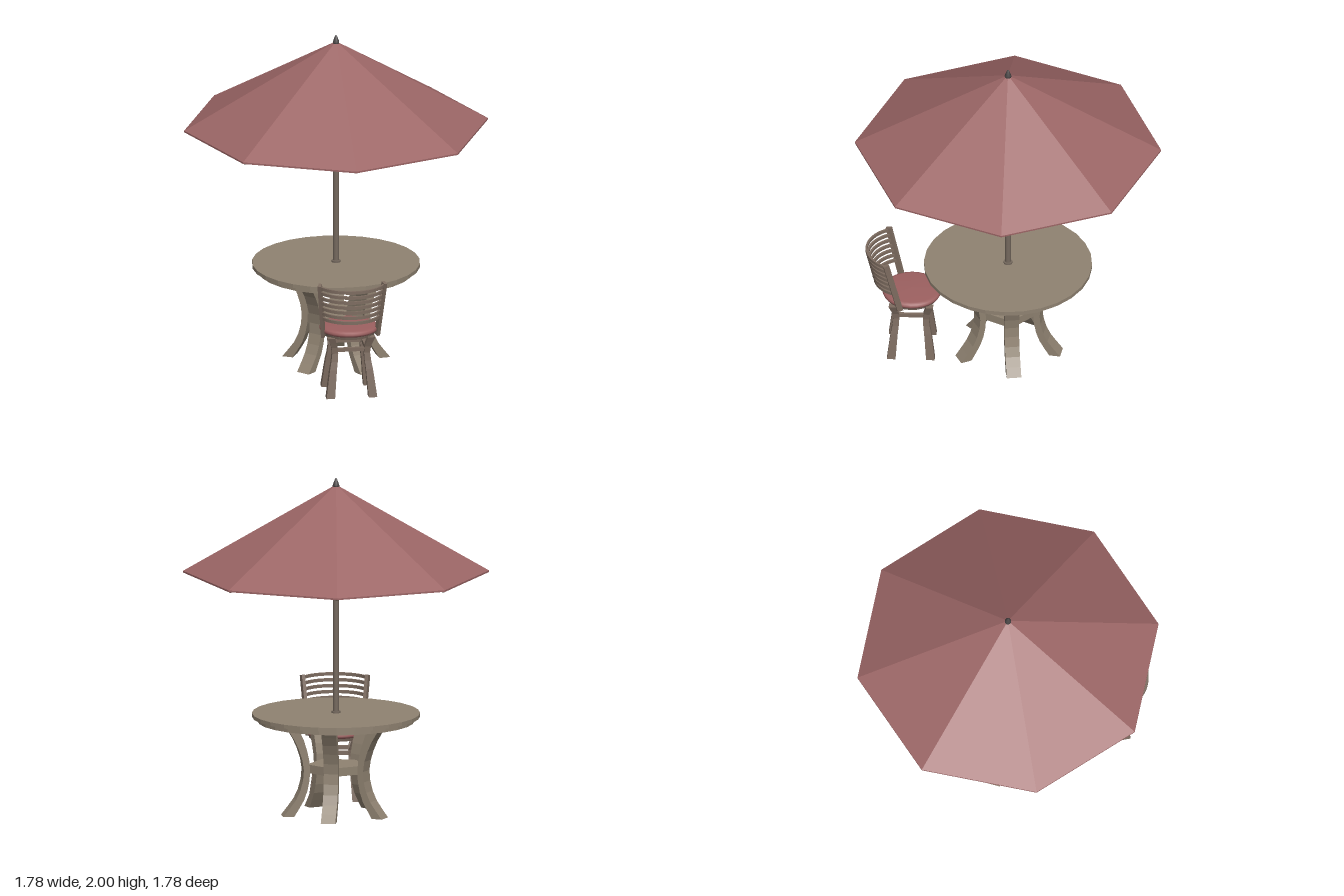
import * as THREE from 'three';

const wood = new THREE.MeshStandardMaterial({ color: 0x8f8271, flatShading: true });
const chairWood = new THREE.MeshStandardMaterial({ color: 0x7d6c60, flatShading: true });
const fabric = new THREE.MeshStandardMaterial({ color: 0x9c6666, flatShading: true, side: THREE.DoubleSide });
const cushionFabric = new THREE.MeshStandardMaterial({ color: 0x9c6060 });
const darkMetal = new THREE.MeshStandardMaterial({ color: 0x4a4646 });
const smoothWood = new THREE.MeshStandardMaterial({ color: 0x75695e });

const V = (x, y, z) => new THREE.Vector3(x, y, z);

function add(parent, name, geometry, material, x = 0, y = 0, z = 0) {
  const mesh = new THREE.Mesh(geometry, material);
  mesh.name = name;
  mesh.position.set(x, y, z);
  parent.add(mesh);
  return mesh;
}

// Straight bar of rectangular section between two points
function bar(parent, name, a, b, width, height, material) {
  const mesh = new THREE.Mesh(new THREE.BoxGeometry(width, height, a.distanceTo(b)), material);
  mesh.name = name;
  mesh.position.copy(a).lerp(b, 0.5);
  mesh.lookAt(b);
  parent.add(mesh);
}

// Curved leg: each point is (offset along direction, height, thickness)
function legGeometry(points, dirX, dirZ, width, segments = 10) {
  const curve = new THREE.CatmullRomCurve3(points);
  const geometry = new THREE.BoxGeometry(1, 1, 1, 1, segments, 1);
  const pos = geometry.attributes.position;
  for (let i = 0; i < pos.count; i++) {
    const c = curve.getPoint(pos.getY(i) + 0.5);
    pos.setXYZ(i, dirX * c.x + pos.getX(i) * (width || c.z), c.y, dirZ * c.x + pos.getZ(i) * c.z);
  }
  geometry.computeVertexNormals();
  return geometry;
}

function createTable() {
  const table = new THREE.Group();
  table.name = 'table';
  add(table, 'tableTop', new THREE.CylinderGeometry(0.49, 0.49, 0.022, 28), wood, 0, 0.598);
  add(table, 'tableApron', new THREE.CylinderGeometry(0.457, 0.457, 0.028, 28), wood, 0, 0.573);
  // Five curved legs joined by a pentagonal brace
  const turn = THREE.MathUtils.degToRad(27);
  const profile = [V(0.285, 0.008, 0.065), V(0.207, 0.13, 0.045), V(0.178, 0.28, 0.037),
    V(0.212, 0.43, 0.05), V(0.28, 0.562, 0.072)];
  for (let i = 0; i < 5; i++) {
    const leg = add(table, 'tableLeg', legGeometry(profile, 0, 1, 0.085), wood);
    leg.rotation.y = turn + i * Math.PI * 2 / 5;
  }
  add(table, 'legBrace', new THREE.CylinderGeometry(0.17, 0.17, 0.05, 5), wood, 0, 0.283).rotation.y = turn;
  return table;
}

function createUmbrella() {
  const umbrella = new THREE.Group();
  umbrella.name = 'umbrella';
  const apex = 1.96, rim = 1.45, radius = 0.892;
  add(umbrella, 'pole', new THREE.CylinderGeometry(0.017, 0.017, 1.37, 12), smoothWood, 0, 1.265);
  add(umbrella, 'poleCollar', new THREE.CylinderGeometry(0.026, 0.026, 0.012, 14), smoothWood, 0, 0.614);
  add(umbrella, 'canopy', new THREE.ConeGeometry(radius, apex - rim, 8, 1, true), fabric, 0, (apex + rim) / 2);
  add(umbrella, 'canopyHem', new THREE.CylinderGeometry(radius, radius, 0.01, 8, 1, true), fabric, 0, rim - 0.004);
  const finial = [[0, 1.94], [0.019, 1.945], [0.019, 1.958], [0.012, 1.978], [0.005, 1.995], [0, 2]];
  add(umbrella, 'finial', new THREE.LatheGeometry(finial.map(p => new THREE.Vector2(...p)), 12), darkMetal);
  add(umbrella, 'upperHub', new THREE.CylinderGeometry(0.03, 0.03, 0.06, 12), smoothWood, 0, 1.88);
  add(umbrella, 'lowerHub', new THREE.CylinderGeometry(0.026, 0.026, 0.05, 12), smoothWood, 0, 1.53);
  // A rib under every ridge, with a strut up from the lower hub
  for (let i = 0; i < 8; i++) {
    const a = i * Math.PI / 4;
    const at = (r, y) => V(Math.sin(a) * r, y, Math.cos(a) * r);
    bar(umbrella, 'rib', at(0.02, 1.935), at(0.882, 1.442), 0.018, 0.016, chairWood);
    bar(umbrella, 'strut', at(0.018, 1.53), at(0.31, 1.77), 0.014, 0.014, chairWood);
  }
  return umbrella;
}

function createChair() {
  const chair = new THREE.Group();
  chair.name = 'chair';
  // Round seat: wooden frame and padded cushion
  add(chair, 'seatFrame', new THREE.CylinderGeometry(0.158, 0.152, 0.02, 24), chairWood, 0, 0.37);
  const pad = [[0, 0.376], [0.155, 0.376], [0.168, 0.383], [0.172, 0.394], [0.166, 0.405], [0.148, 0.412], [0, 0.415]];
  add(chair, 'seatCushion', new THREE.LatheGeometry(pad.map(p => new THREE.Vector2(...p)), 28), cushionFabric);

  // Legs pinched at the stretchers, and back posts
  const profile = [V(0.124, 0, 0.05), V(0.108, 0.15, 0.042), V(0.094, 0.28, 0.035), V(0.118, 0.365, 0.042)];
  for (const sx of [-1, 1]) {
    for (const sz of [-1, 1]) {
      add(chair, 'chairLeg', legGeometry(profile, sx, sz * 0.92, 0, 8), chairWood);
    }
    bar(chair, 'backPost', V(sx * 0.158, 0.36, 0.062), V(sx * 0.19, 0.702, 0.143), 0.02, 0.034, chairWood);
    bar(chair, 'sideStretcher', V(sx * 0.094, 0.283, -0.086), V(sx * 0.094, 0.283, 0.086), 0.018, 0.022, chairWood);
    bar(chair, 'crossStretcher', V(-0.094, 0.283, sx * 0.086), V(0.094, 0.283, sx * 0.086), 0.018, 0.022, chairWood);
  }

  // Seven curved back slats following the lean of the posts
  for (let i = 0; i < 7; i++) {
    const y = 0.485 + i * 0.0335;
    const t = (y - 0.36) / 0.342;
    const half = 0.158 + 0.032 * t, depth = 0.125;
    const r = (half * half + depth * depth) / (2 * depth);
    const spread = Math.asin(half / r);
    const shape = new THREE.Shape();
    shape.absarc(0, 0, r + 0.006, Math.PI / 2 - spread, Math.PI / 2 + spread, false);
    shape.absarc(0, 0, r - 0.006, Math.PI / 2 + spread, Math.PI / 2 - spread, true);
    const slat = new THREE.ExtrudeGeometry(shape, { depth: 0.018, bevelEnabled: false, curveSegments: 12 });
    slat.rotateX(Math.PI / 2);
    add(chair, 'backSlat', slat, chairWood, 0, y + 0.009, 0.062 + 0.081 * t + depth - r);
  }
  chair.position.set(0, 0, 0.56);
  return chair;
}

export function createModel() {
  const model = new THREE.Group();
  model.name = 'patioSet';
  model.add(createTable(), createUmbrella(), createChair());
  return model;
}
